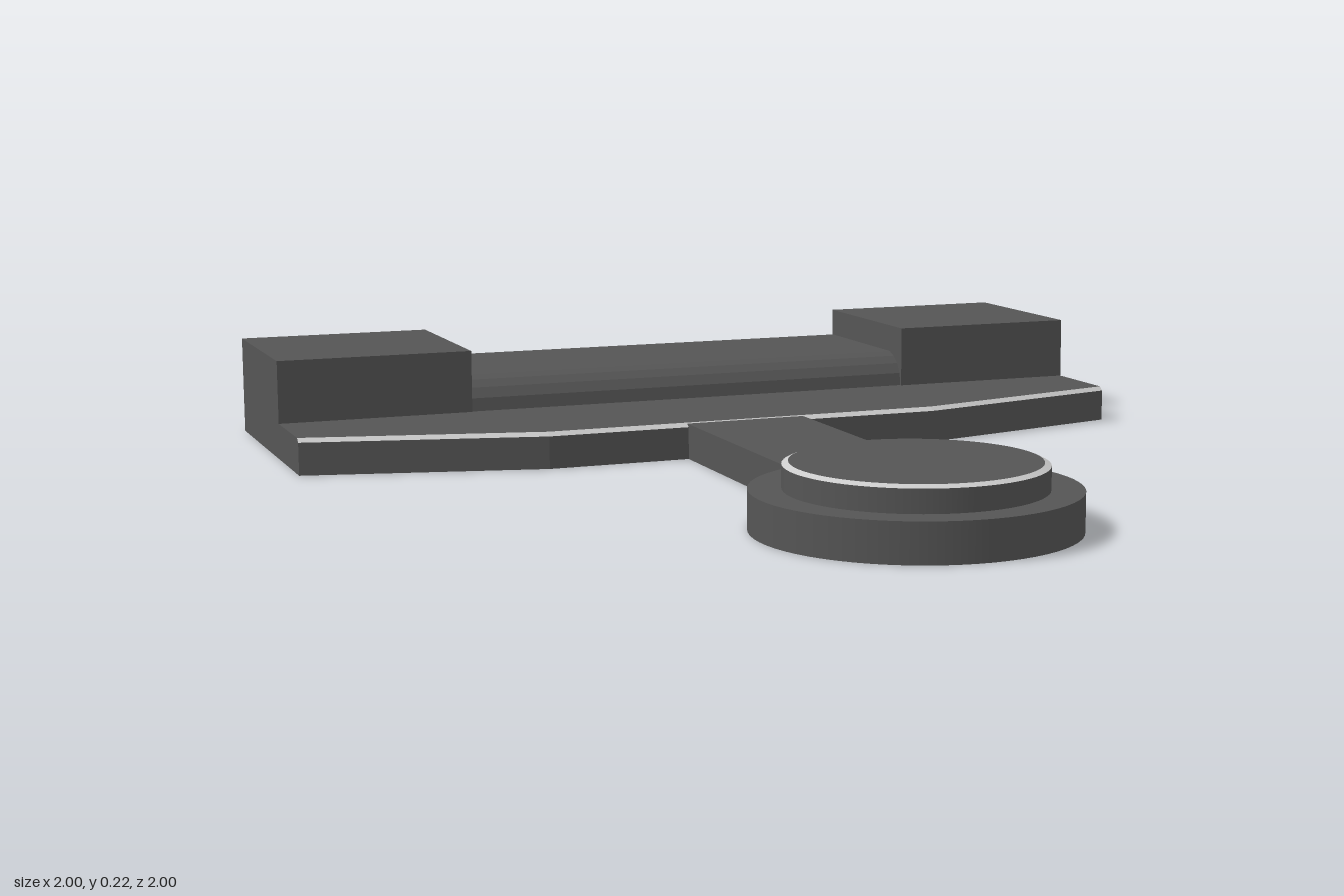
import * as THREE from 'three';

const dark = new THREE.MeshStandardMaterial({ color: 0x555555 });
const light = new THREE.MeshStandardMaterial({ color: 0xcccccc, side: THREE.DoubleSide });

export function createModel() {
  const group = new THREE.Group();
  const add = (name, geometry, material = dark) => {
    const mesh = new THREE.Mesh(geometry, material);
    mesh.name = name;
    group.add(mesh);
    return mesh;
  };
  const box = (name, x0, x1, y0, y1, z0, z1) =>
    add(name, new THREE.BoxGeometry(x1 - x0, y1 - y0, z1 - z0))
      .position.set((x0 + x1) / 2, (y0 + y1) / 2, (z0 + z1) / 2);

  // Extrudes a plan outline of [x, z] points upward from y0 to y1
  const slab = (name, points, y0, y1) => {
    const shape = new THREE.Shape(points.map(([x, z]) => new THREE.Vector2(x, -z)));
    const geometry = new THREE.ExtrudeGeometry(shape, { depth: y1 - y0, bevelEnabled: false });
    add(name, geometry.rotateX(-Math.PI / 2).translate(0, y0, 0));
  };

  // Base plate with a tapered front and a fine pale chamfer along its front edge
  const edge = [[-1, -0.355], [-0.47, -0.225], [0.47, -0.225], [1, -0.355]];
  const inner = edge.map(([x, z]) => [x, z - 0.011]);
  const back = [[1, -1], [-1, -1]];
  slab('basePlate', [...edge, ...back], 0, 0.073);
  slab('basePlateTop', [...inner, ...back], 0.073, 0.082);
  const strip = [];
  for (let i = 0; i < 3; i++) {
    const a = [edge[i][0], 0.073, edge[i][1]];
    const b = [edge[i + 1][0], 0.073, edge[i + 1][1]];
    const c = [inner[i + 1][0], 0.082, inner[i + 1][1]];
    const d = [inner[i][0], 0.082, inner[i][1]];
    strip.push(...a, ...b, ...c, ...a, ...c, ...d);
  }
  const stripGeometry = new THREE.BufferGeometry();
  stripGeometry.setAttribute('position', new THREE.Float32BufferAttribute(strip, 3));
  stripGeometry.computeVertexNormals();
  add('frontEdgeTrim', stripGeometry, light);

  // Raised end blocks
  box('leftBlock', 0.55, 1, 0.08, 0.225, -1, -0.57);
  box('rightBlock', -1, -0.55, 0.08, 0.225, -1, -0.57);

  // Thin cover between the blocks, curling down at the front and open at the back
  const profile = [
    [-0.995, 0.16], [-0.64, 0.16], [-0.615, 0.151], [-0.595, 0.135], [-0.58, 0.112], [-0.575, 0.08],
    [-0.592, 0.08], [-0.598, 0.107], [-0.612, 0.127], [-0.64, 0.142], [-0.995, 0.142],
  ];
  const coverShape = new THREE.Shape(profile.map(([z, y]) => new THREE.Vector2(-z, y)));
  const cover = new THREE.ExtrudeGeometry(coverShape, { depth: 1.1, bevelEnabled: false });
  add('centreCover', cover.rotateY(Math.PI / 2).translate(-0.55, 0, 0));

  // Arm and round pad
  box('arm', -0.142, 0.142, 0, 0.08, -0.24, 0.42);
  add('padBase', new THREE.CylinderGeometry(0.33, 0.33, 0.082, 64)).position.set(0, 0.041, 0.67);

  // Button with a pale chamfered rim
  add('button', new THREE.CylinderGeometry(0.263, 0.263, 0.05, 64)).position.set(0, 0.105, 0.67);
  add('buttonRim', new THREE.CylinderGeometry(0.25, 0.263, 0.006, 64, 1, true), light)
    .position.set(0, 0.133, 0.67);
  add('buttonTop', new THREE.CircleGeometry(0.25, 64).rotateX(-Math.PI / 2)).position.set(0, 0.136, 0.67);

  return group;
}
